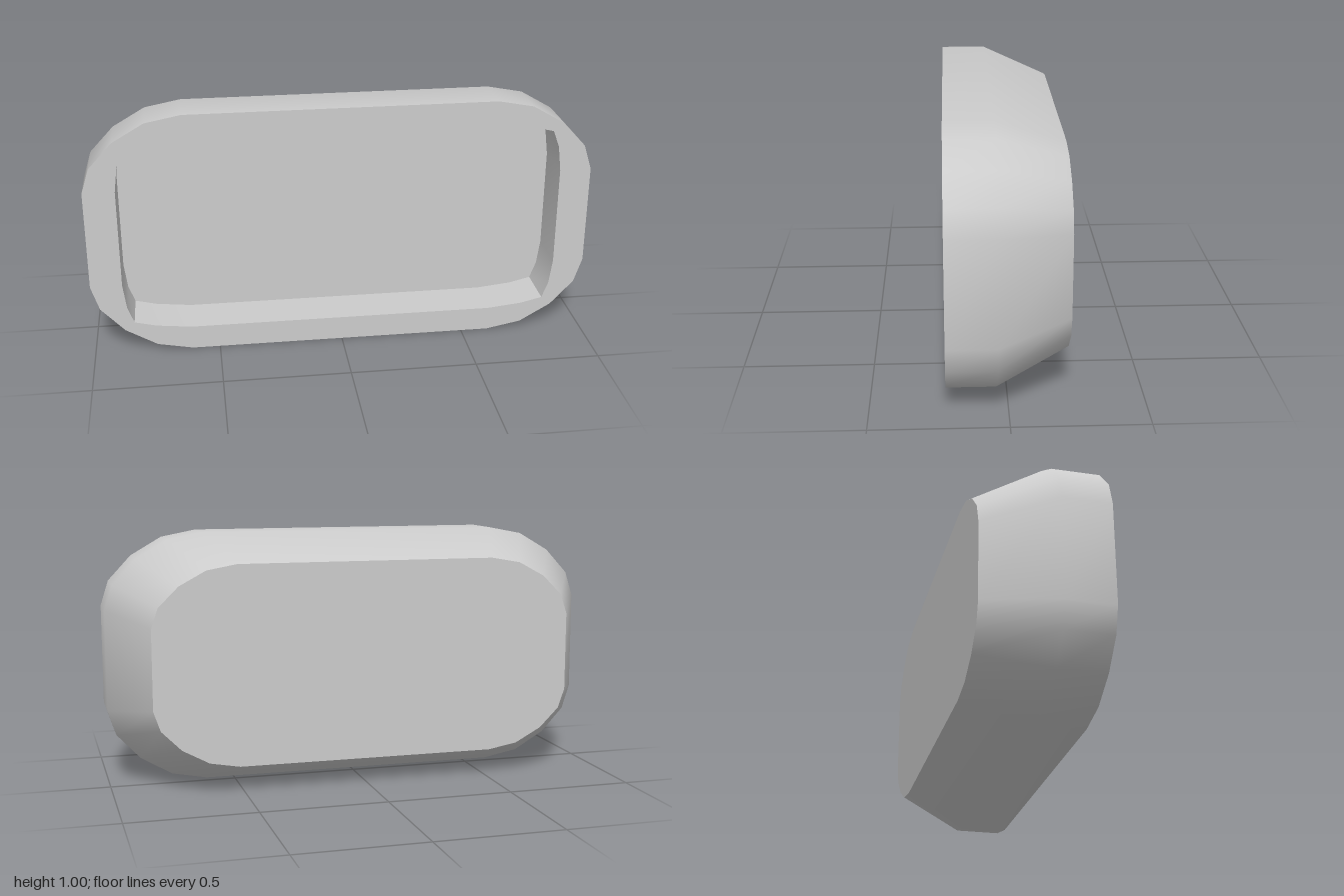
import * as THREE from 'three';
import { toCreasedNormals } from 'three/addons/utils/BufferGeometryUtils.js';

const CENTRE_Y = 0.5;
const FRONT = 0.225, SHOULDER = 0.04, BACK = -0.225;

// Mirrors one corner (running from the top edge to the side edge) into a
// closed counter-clockwise outline centred on the origin.
function outline(corner) {
  const rev = [...corner].reverse();
  return [
    ...rev,
    ...corner.map(([x, y]) => [-x, y]),
    ...rev.map(([x, y]) => [-x, -y]),
    ...corner.map(([x, y]) => [x, -y]),
  ];
}

const outer = outline([[0.61, 0.5], [0.75, 0.473], [0.875, 0.4], [0.968, 0.3], [1, 0.2]]);
const inner = outline([[0.61, 0.403], [0.75, 0.388], [0.837, 0.367], [0.862, 0.3], [0.875, 0.2]]);

const ring = (points, z, sx = 1, sy = 1) =>
  points.map(([x, y]) => new THREE.Vector3(x * sx, y * sy + CENTRE_Y, z));

// Skins consecutive rings of equal point count.
function loft(rings) {
  const pos = [];
  for (let r = 0; r < rings.length - 1; r++) {
    const a = rings[r], b = rings[r + 1];
    for (let i = 0; i < a.length; i++) {
      const j = (i + 1) % a.length;
      for (const p of [a[i], b[i], b[j], a[i], b[j], a[j]]) pos.push(p.x, p.y, p.z);
    }
  }
  const geo = new THREE.BufferGeometry();
  geo.setAttribute('position', new THREE.Float32BufferAttribute(pos, 3));
  return toCreasedNormals(geo, 0.75);
}

const toShape = (points) => new THREE.Shape(points.map(([x, y]) => new THREE.Vector2(x, y)));

export function createModel() {
  const group = new THREE.Group();
  group.name = 'recessedHousing';
  const material = new THREE.MeshStandardMaterial({ color: 0xcccccc });

  const add = (name, geometry) => {
    const mesh = new THREE.Mesh(geometry, material);
    mesh.name = name;
    group.add(mesh);
    return mesh;
  };

  // Outer wall: straight band, then tapering to the back
  add('outerWall', loft([
    ring(outer, BACK, 0.85, 0.79),
    ring(outer, SHOULDER),
    ring(outer, FRONT),
  ].reverse()));

  // Flat front rim around the recess
  const rimShape = toShape(outer);
  rimShape.holes.push(toShape(inner));
  add('frontRim', new THREE.ShapeGeometry(rimShape)).position.set(0, CENTRE_Y, FRONT);

  // Recess: straight walls and a flat floor
  add('recessWall', loft([ring(inner, SHOULDER), ring(inner, FRONT)]));
  add('recessFloor', new THREE.ShapeGeometry(toShape(inner))).position.set(0, CENTRE_Y, SHOULDER);

  // Flat back panel, turned to face backwards
  const back = add('backPanel', new THREE.ShapeGeometry(toShape(outer)));
  back.scale.set(0.85, 0.79, 1);
  back.rotation.y = Math.PI;
  back.position.set(0, CENTRE_Y, BACK);

  return group;
}
